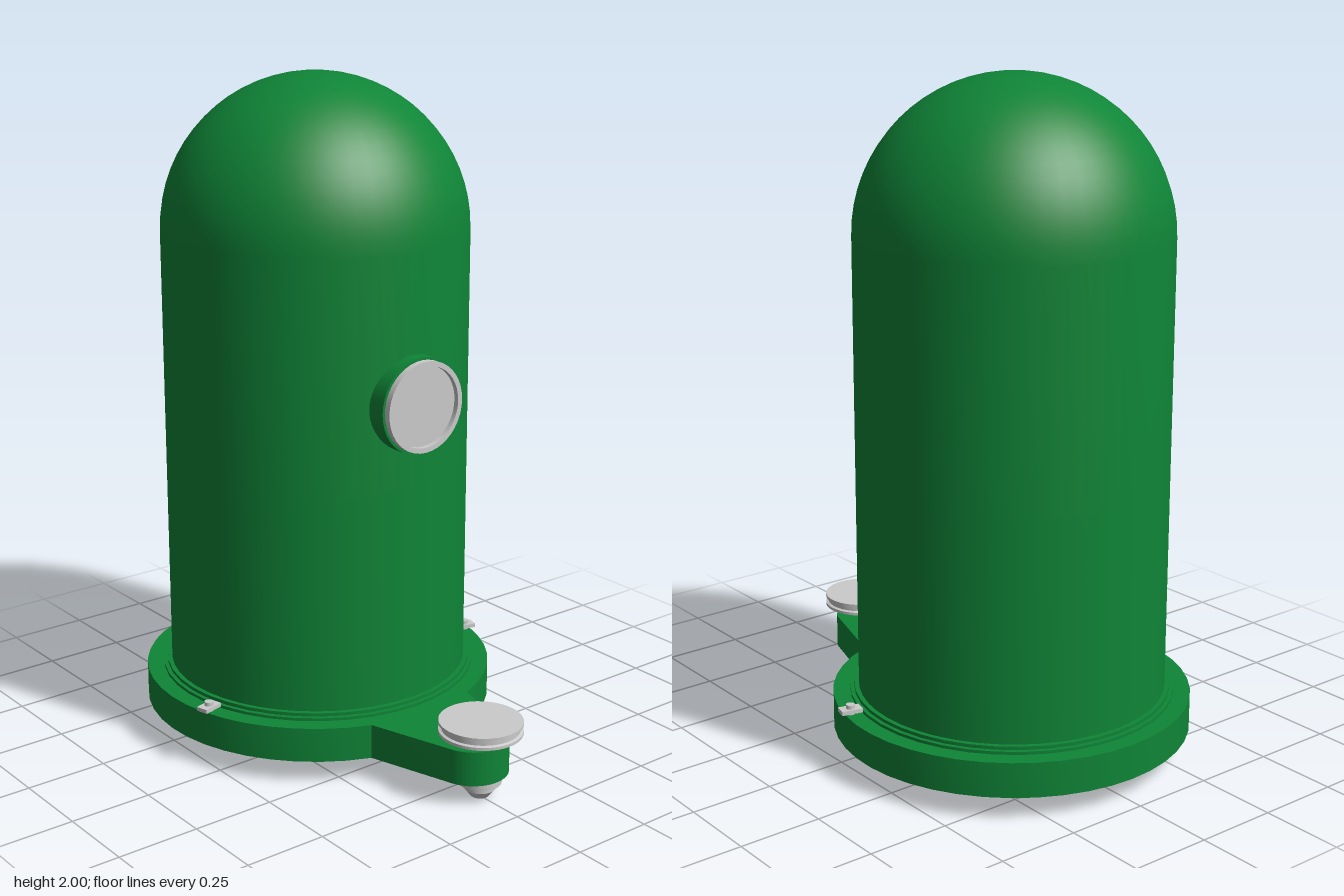
import * as THREE from 'three';
import { toCreasedNormals } from 'three/addons/utils/BufferGeometryUtils.js';

export function createModel() {
  const model = new THREE.Group();
  const green = new THREE.MeshStandardMaterial({ color: 0x0f8537 });
  const grey = new THREE.MeshStandardMaterial({ color: 0xcccccc });
  const CX = -0.18; // axis of the housing

  const add = (name, geometry, material, x, y, z, parent = model) => {
    const mesh = new THREE.Mesh(geometry, material);
    mesh.name = name;
    mesh.position.set(x, y, z);
    parent.add(mesh);
    return mesh;
  };
  // Turned part from [radius, height] pairs, listed bottom to top
  const turned = (points, segments = 40) => toCreasedNormals(
    new THREE.LatheGeometry(points.map(([r, y]) => new THREE.Vector2(r, y)), segments), 0.45);

  // Base plate: round disc with a tapering, rounded arm
  const R = 0.535, a = 0.352, endX = 0.553, endR = 0.108, t = 1.27;
  const outline = new THREE.Shape();
  outline.absarc(CX, 0, R, a, Math.PI * 2 - a, false);
  outline.absarc(endX, 0, endR, -t, t, false);
  outline.closePath();
  const plate = new THREE.ExtrudeGeometry(outline, { depth: 0.105, bevelEnabled: false, curveSegments: 20 });
  plate.rotateX(-Math.PI / 2);
  add('basePlate', toCreasedNormals(plate, 0.3), green, 0, 0.07, 0);

  // Stepped seat around the foot of the housing
  add('seatRing', turned([[0.484, 0.17], [0.484, 0.184], [0.472, 0.184], [0.472, 0.194], [0.45, 0.194]]), green, CX, 0, 0);

  // Cylindrical housing with a hemispherical dome
  const profile = [[0.458, 0.17], [0.458, 0.85]];
  for (let i = 0; i <= 16; i++) {
    const u = (i / 16) * Math.PI / 2;
    profile.push([Math.max(0, 0.458 * Math.cos(u)), 1.542 + 0.458 * Math.sin(u)]);
  }
  add('domedHousing', turned(profile, 48), green, CX, 0, 0);

  // Round window on the arm side, built along +y and turned to face +x
  const port = new THREE.Group();
  port.name = 'window';
  port.position.set(0, 1.105, 0);
  port.rotation.z = -Math.PI / 2;
  model.add(port);
  add('windowCollar', turned([[0.142, 0.2], [0.142, 0.314], [0.12, 0.314]]), green, 0, 0, 0, port);
  add('windowRim', turned([[0.134, 0.31], [0.134, 0.334], [0.119, 0.334], [0.119, 0.3]]), grey, 0, 0, 0, port);
  add('windowGlass', new THREE.CylinderGeometry(0.12, 0.12, 0.01, 40), grey, 0, 0.313, 0, port);

  // Levelling foot at the end of the arm
  const footX = 0.59;
  add('footKnob', turned([
    [0, 0.202], [0.122, 0.202], [0.122, 0.211], [0.114, 0.214],
    [0.114, 0.227], [0.122, 0.23], [0.122, 0.239], [0, 0.239]
  ]), grey, footX, 0, 0);
  add('footStem', new THREE.CylinderGeometry(0.049, 0.049, 0.16, 24), grey, footX, 0.13, 0);
  add('footTip', turned([
    [0, 0], [0.027, 0.004], [0.046, 0.028], [0.046, 0.046],
    [0.063, 0.046], [0.063, 0.072], [0, 0.072]
  ], 24), grey, footX, 0, 0);

  // Pair of small clamps with screws on the plate edge
  for (const side of [-1, 1]) {
    const clamp = new THREE.Group();
    clamp.name = side > 0 ? 'frontClamp' : 'backClamp';
    clamp.position.set(-0.052, 0.175, side * 0.5);
    clamp.rotation.y = side * 0.25;
    model.add(clamp);
    add('clampPlate', new THREE.BoxGeometry(0.037, 0.012, 0.064), grey, 0, 0.011, 0, clamp);
    add('clampSpacer', new THREE.CylinderGeometry(0.014, 0.014, 0.012, 16), grey, 0, 0.004, 0, clamp);
    add('clampScrew', new THREE.CylinderGeometry(0.013, 0.013, 0.018, 16), grey, 0, 0.02, 0, clamp);
  }
  return model;
}
